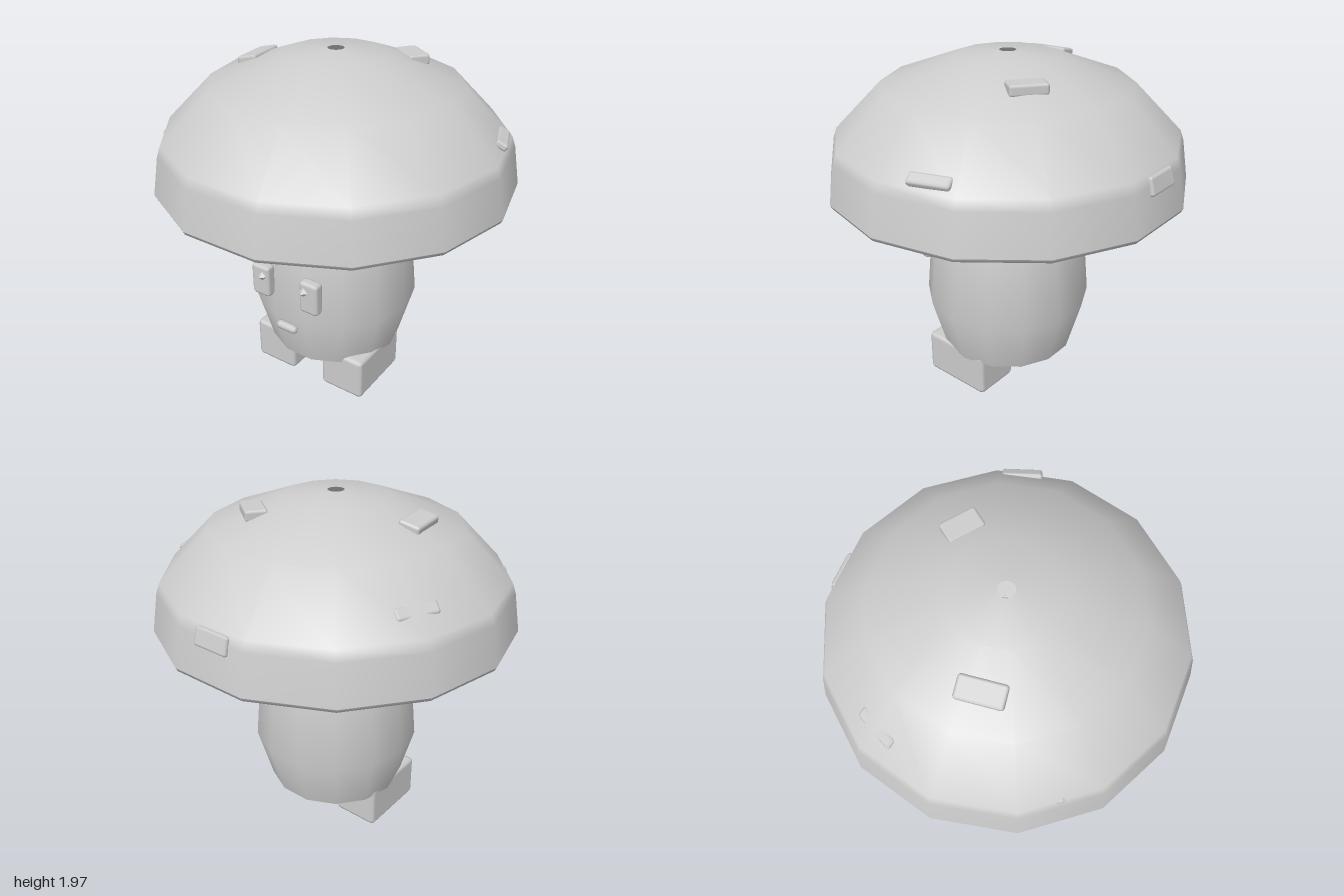
import * as THREE from 'three';
import { RoundedBoxGeometry } from 'three/addons/geometries/RoundedBoxGeometry.js';

export function createModel() {
  const model = new THREE.Group();
  model.name = 'mushroomFigure';
  const grey = new THREE.MeshStandardMaterial({ color: 0xcccccc, side: THREE.DoubleSide });
  grey.name = 'pale grey';

  const add = (name, geometry, x = 0, y = 0, z = 0) => {
    const mesh = new THREE.Mesh(geometry, grey);
    mesh.name = name;
    mesh.position.set(x, y, z);
    model.add(mesh);
    return mesh;
  };
  const lathe = (points, sides) => new THREE.LatheGeometry(
    points.map(([r, y]) => new THREE.Vector2(r, y)), sides, Math.PI / 2);
  const block = (w, h, d, bevel) => new RoundedBoxGeometry(w, h, d, 1, bevel);

  // Hollow stem, open at the bottom
  add('stem', lathe([[0.395, 0.22], [0.48, 0.53], [0.44, 0.97], [0.36, 1.155]], 14));

  // Cap: underside ring and dome with a small hole in the crown
  add('capUnderside', lathe([[0.35, 1.15], [0.99, 1.245], [1, 1.265]], 14));
  add('capDome', lathe([[1, 1.265], [0.962, 1.48], [0.942, 1.535],
    [0.68, 1.8], [0.285, 1.945], [0.045, 1.97]], 14));

  // Patches sunk into the cap: position, [slope width, thickness, length], yaw, tilt
  const patches = [
    [[0.265, 1.888, -0.34], [0.2, 0.06, 0.12], -0.64, 0],
    [[-0.465, 1.872, 0.07], [0.12, 0.05, 0.24], Math.PI + 0.13, 0.22],
    [[-0.738, 1.618, -0.35], [0.07, 0.05, 0.23], Math.PI - 0.45, 0.77],
    [[0.85, 1.575, -0.26], [0.07, 0.04, 0.22], 0.35, 0.5],
    [[-0.02, 1.475, -0.93], [0.1, 0.05, 0.21], Math.PI / 2, 1.3],
    [[-0.712, 1.53, 0.565], [0.04, 0.03, 0.05], Math.PI + 0.67, 0.8],
  ];
  for (const [at, size, yaw, tilt] of patches) {
    const patch = add('capPatch', block(...size, 0.015), ...at);
    patch.rotation.set(0, yaw, -tilt, 'YZX');
  }

  // Face and feet, mirrored
  for (const s of [1, -1]) {
    const side = s > 0 ? 'left' : 'right';
    add(side + 'Eye', block(0.12, 0.195, 0.065, 0.02), s * 0.163, 0.748, 0.477);
    add(side + 'Pupil', new THREE.OctahedronGeometry(0.028), s * 0.141, 0.79, 0.513);
    add(side + 'Foot', block(0.28, 0.26, 0.43, 0.025), s * 0.242, 0.13, 0.09);
  }
  add('mouth', block(0.14, 0.05, 0.05, 0.0249), 0, 0.485, 0.485);

  return model;
}
